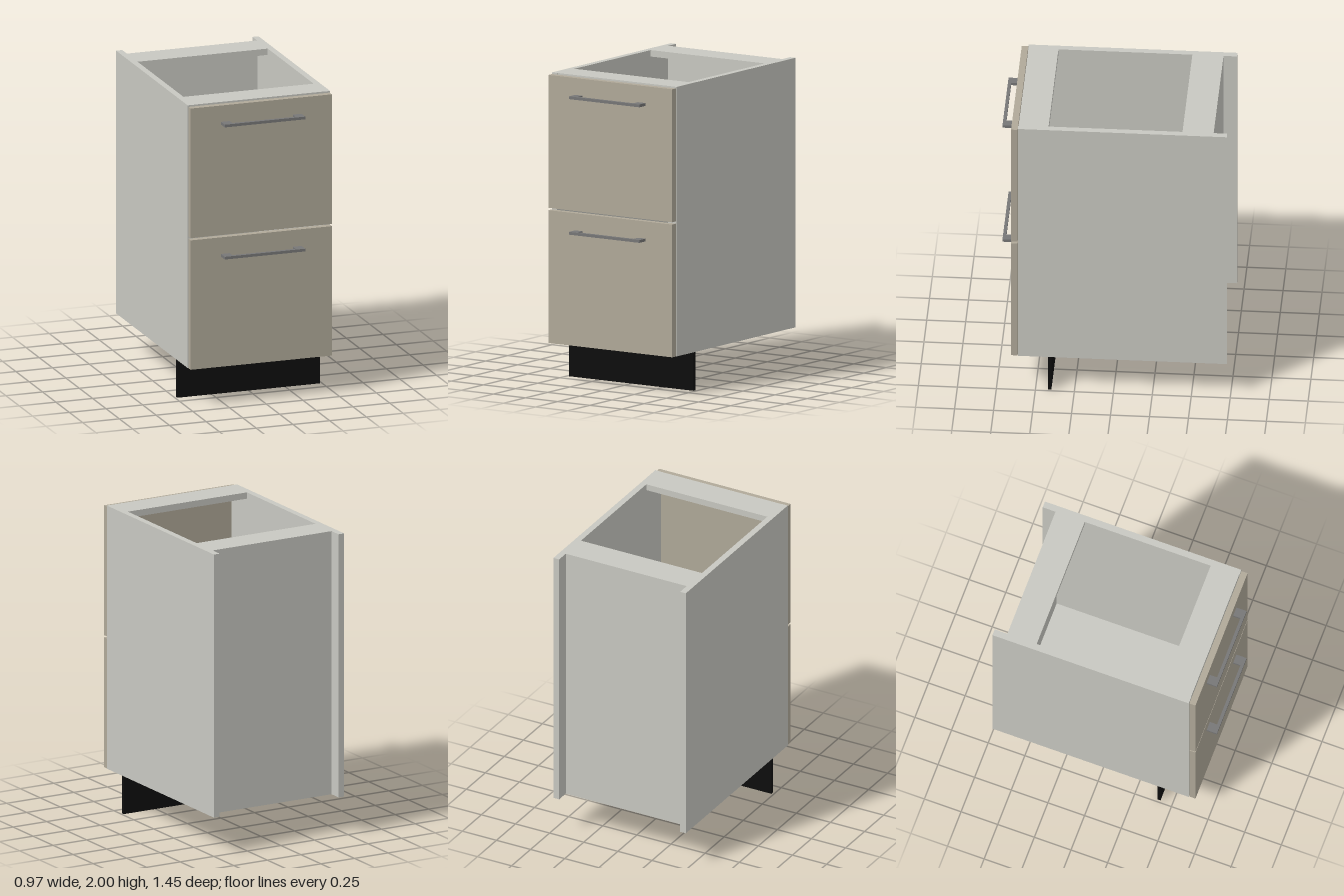
import * as THREE from 'three';

const paint = (name, color) => {
  const m = new THREE.MeshStandardMaterial({ color });
  m.name = name;
  return m;
};

export function createModel() {
  const carcass = paint('light grey board', 0xc8c8c1);
  const front = paint('taupe front', 0xb0a999);
  const metal = paint('grey metal', 0x777777);
  const black = paint('black plinth', 0x0d0d0d);

  const model = new THREE.Group();
  model.name = 'drawerCabinet';

  // Box given by its extents along each axis
  const box = (name, material, [x0, x1], [y0, y1], [z0, z1], parent = model) => {
    const mesh = new THREE.Mesh(new THREE.BoxGeometry(x1 - x0, y1 - y0, z1 - z0), material);
    mesh.position.set((x0 + x1) / 2, (y0 + y1) / 2, (z0 + z1) / 2);
    mesh.name = name;
    parent.add(mesh);
    return mesh;
  };

  // Carcass: sides overhang the recessed back panel, open top with two rails
  const inner = [-0.443, 0.443];
  box('leftSide', carcass, [0.443, 0.485], [0.25, 2], [-0.727, 0.613]);
  box('rightSide', carcass, [-0.485, -0.443], [0.25, 2], [-0.727, 0.613]);
  box('bottomPanel', carcass, inner, [0.25, 0.292], [-0.632, 0.613]);
  box('backPanel', carcass, inner, [0.25, 2], [-0.64, -0.632]);
  box('frontRail', carcass, inner, [1.958, 2], [0.419, 0.611]);
  box('backRail', carcass, inner, [1.958, 2], [-0.632, -0.44]);

  // Plinth board
  box('plinth', black, [-0.485, 0.485], [0, 0.25], [0.398, 0.42]);

  // Drawer fronts, each with a bar handle on two flat feet
  const drawers = [
    { name: 'upper', y: [1.127, 1.99], handleY: 1.872 },
    { name: 'lower', y: [0.25, 1.112], handleY: 0.992 },
  ];
  for (const { name, y, handleY } of drawers) {
    const drawer = new THREE.Group();
    drawer.name = `${name}Drawer`;
    model.add(drawer);
    box('drawerFront', front, [-0.481, 0.481], y, [0.615, 0.657], drawer);

    const handle = new THREE.Group();
    handle.name = 'handle';
    drawer.add(handle);
    const h = [handleY - 0.009, handleY + 0.009];
    box('handleBar', metal, [-0.215, 0.215], h, [0.706, 0.727], handle);
    box('leftFoot', metal, [0.215, 0.274], h, [0.657, 0.727], handle);
    box('rightFoot', metal, [-0.274, -0.215], h, [0.657, 0.727], handle);
  }

  return model;
}
